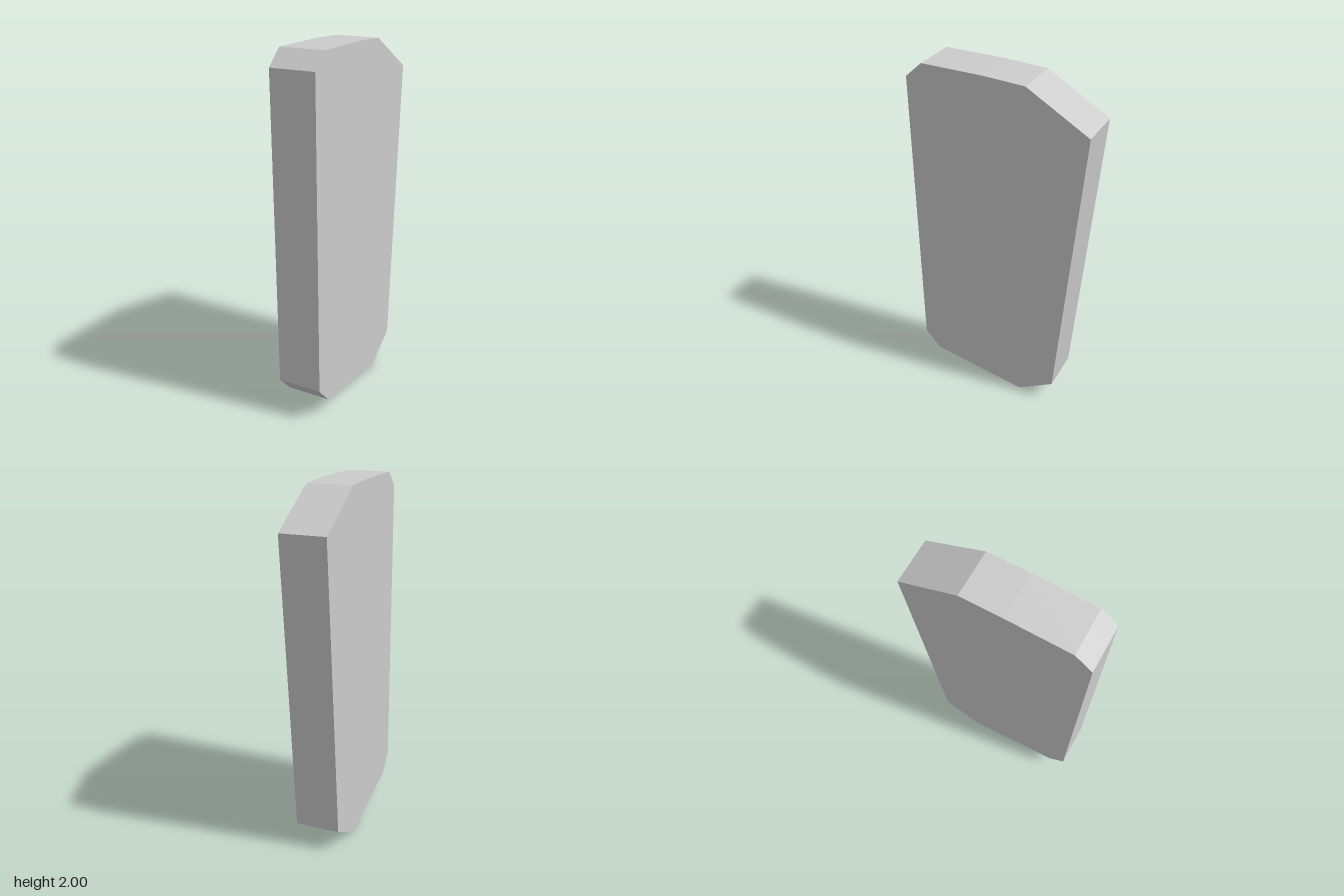
import * as THREE from 'three';

// Side outline as [z, y], front edge first
const OUTLINE = [
  [0.505, 0.2], [0.505, 1.915], [0.41, 2.0], [0.065, 2.0], [-0.165, 1.99],
  [-0.505, 1.795], [-0.37, 0.13], [-0.155, 0], [0.41, 0.095],
];
const WIDTH = 0.25;

export function createModel() {
  const group = new THREE.Group();
  group.name = 'slab';

  // Flat outline extruded across the width, then turned to run along x
  const shape = new THREE.Shape(OUTLINE.map(([z, y]) => new THREE.Vector2(z, y)));
  const geometry = new THREE.ExtrudeGeometry(shape, { depth: WIDTH, bevelEnabled: false });
  geometry.translate(0, 0, -WIDTH / 2);
  geometry.rotateY(-Math.PI / 2);

  const material = new THREE.MeshStandardMaterial({ color: 0xcccccc, flatShading: true });
  const body = new THREE.Mesh(geometry, material);
  body.name = 'chamferedBody';
  group.add(body);
  return group;
}
